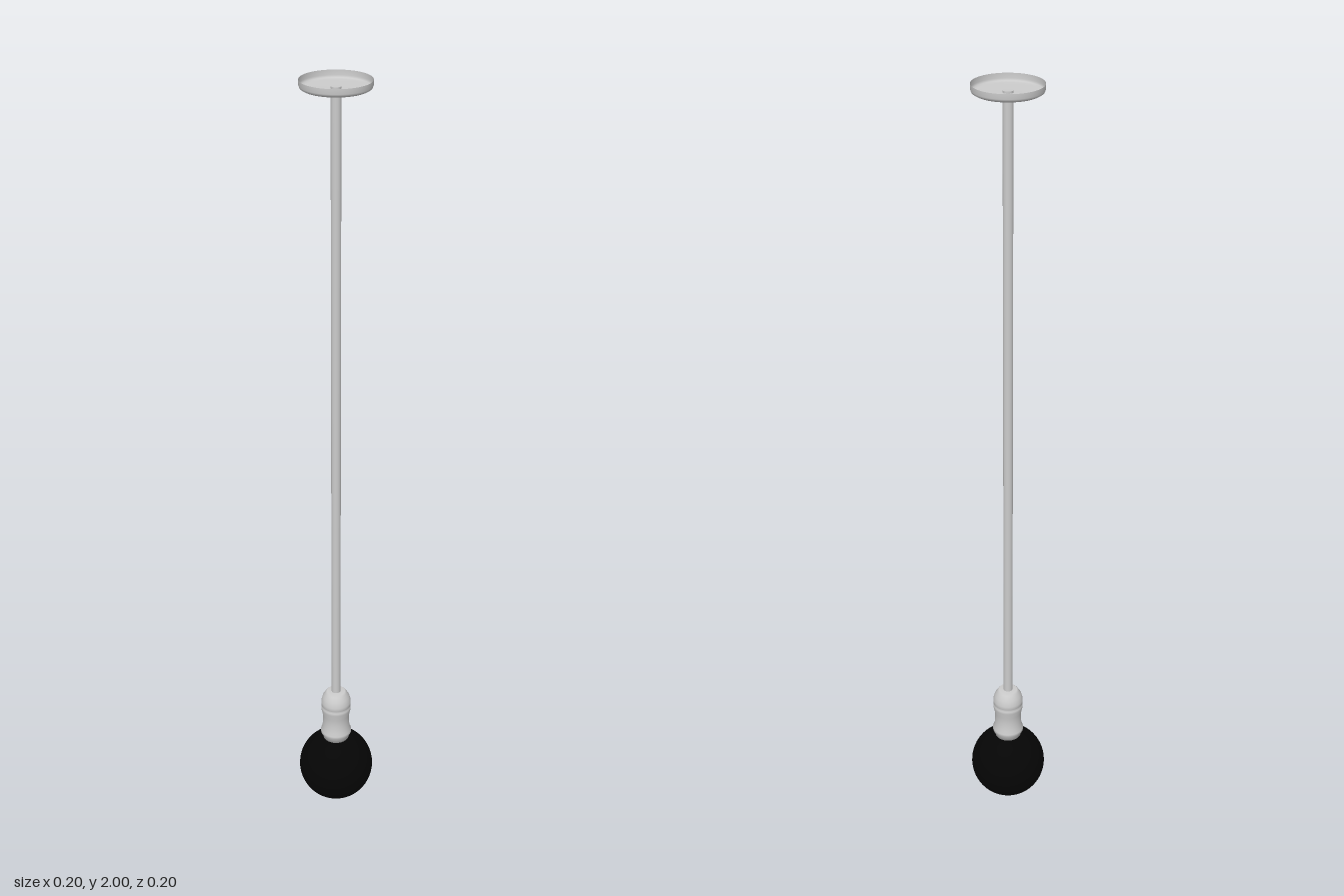
import * as THREE from 'three';

export function createModel() {
  const group = new THREE.Group();
  const metal = new THREE.MeshStandardMaterial({ color: 0xcccccc, side: THREE.DoubleSide });
  const black = new THREE.MeshStandardMaterial({ color: 0x050505 });

  const add = (name, geometry, material, y = 0) => {
    const mesh = new THREE.Mesh(geometry, material);
    mesh.name = name;
    mesh.position.y = y;
    group.add(mesh);
  };
  const lathe = (points) =>
    new THREE.LatheGeometry(points.map(([r, y]) => new THREE.Vector2(r, y)), 48);

  // Shallow ceiling dish, open at the top
  add('ceilingCanopy', lathe([[0, 1.98], [0.076, 1.98], [0.081, 1.983], [0.083, 1.988], [0.083, 2]]), metal);

  // Long straight stem, its end just showing inside the dish
  add('stem', new THREE.CylinderGeometry(0.012, 0.012, 1.645, 24), metal, 0.34 + 1.645 / 2);

  // Waisted lamp holder with a stepped collar
  add('socket', lathe([
    [0, 0.185], [0.034, 0.19], [0.036, 0.205], [0.041, 0.21], [0.041, 0.218],
    [0.037, 0.228], [0.035, 0.25], [0.036, 0.27], [0.04, 0.288], [0.04, 0.296],
    [0.037, 0.299], [0.04, 0.303], [0.04, 0.313], [0.036, 0.328], [0.028, 0.341],
    [0.024, 0.345], [0, 0.345],
  ]), metal);

  // Round bulb
  add('bulb', new THREE.SphereGeometry(0.1, 48, 32), black, 0.1);

  return group;
}
